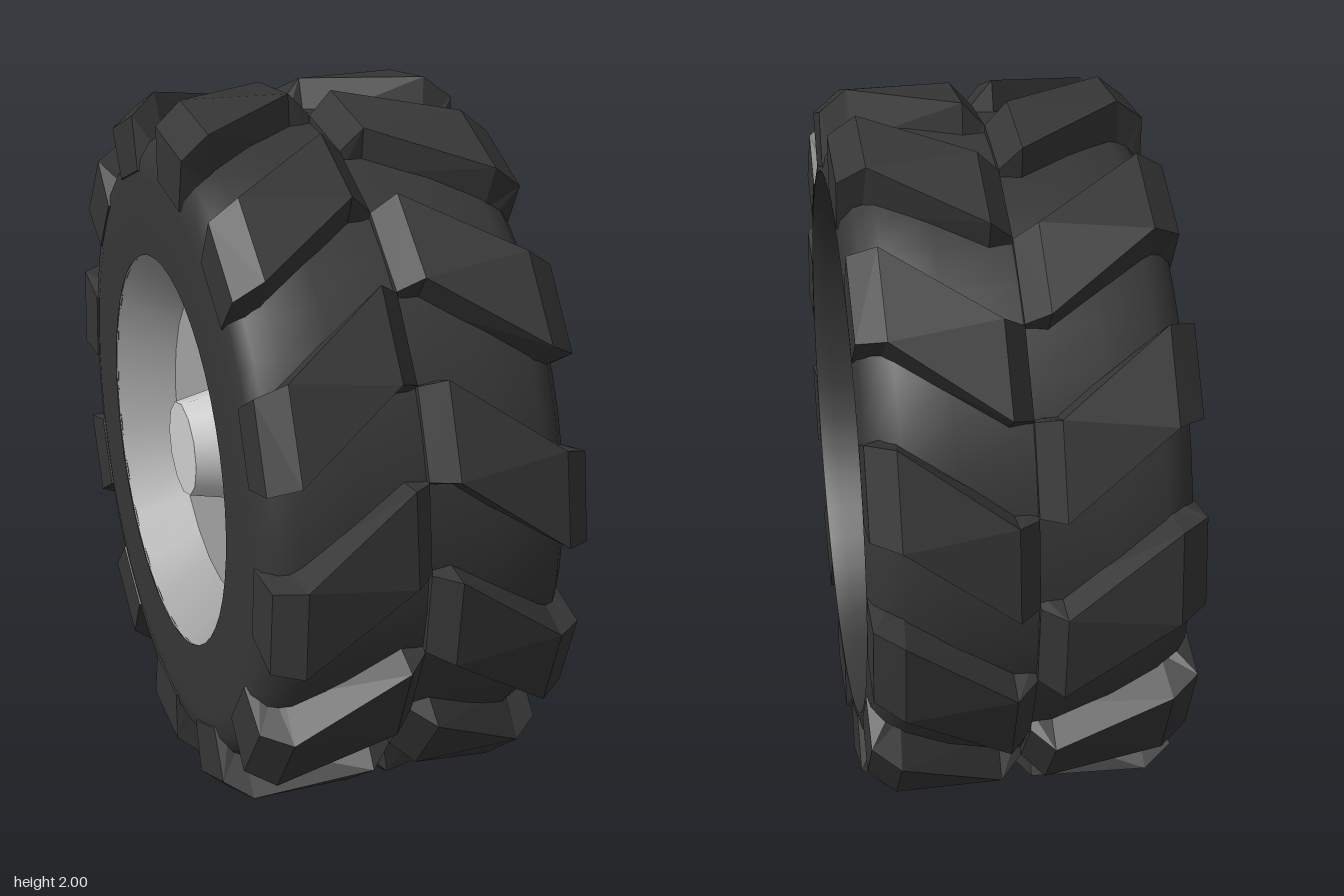
import * as THREE from 'three';

const mat = (name, color, side = THREE.FrontSide) =>
  Object.assign(new THREE.MeshStandardMaterial({ color, side }), { name });

const rad = THREE.MathUtils.degToRad;

// Tread lug: quad cross-sections swept from the centre line over the shoulder.
// Each station: [topX, topRadius, baseX, baseRadius, sweep angle]
const STATIONS = [
  [0.0, 0.935, 0.0, 0.87, 0],
  [0.06, 1.0, 0.06, 0.87, 0],
  [0.35, 1.0, 0.34, 0.86, -12.5],
  [0.425, 0.94, 0.36, 0.83, -13.5],
  [0.425, 0.79, 0.38, 0.77, -13.5],
];

function lugGeometry(side) {
  const pos = [];
  const point = (x, r, deg) => [side * x, r * Math.sin(rad(deg)), r * Math.cos(rad(deg))];
  const loops = STATIONS.map(([tx, tr, bx, br, sweep]) => {
    const c = sweep - side * 7.5;
    return [point(bx, br, c - 8.4), point(tx, tr, c - 7.4), point(tx, tr, c + 7.4), point(bx, br, c + 8.4)];
  });
  const quad = (a, b, c, d) => {
    const order = side > 0 ? [a, b, c, a, c, d] : [a, c, b, a, d, c];
    order.forEach((p) => pos.push(...p));
  };
  for (let i = 0; i < loops.length - 1; i++) {
    for (let j = 0; j < 4; j++) {
      const k = (j + 1) % 4;
      quad(loops[i][j], loops[i + 1][j], loops[i + 1][k], loops[i][k]);
    }
  }
  const end = loops[loops.length - 1];
  quad(...loops[0]);
  quad(end[3], end[2], end[1], end[0]);
  const g = new THREE.BufferGeometry();
  g.setAttribute('position', new THREE.Float32BufferAttribute(pos, 3));
  g.computeVertexNormals();
  return g;
}

export function createModel() {
  const rubber = mat('dark rubber', 0x363636);
  const metal = mat('grey metal', 0xa2a2a2, THREE.DoubleSide);
  const hubMetal = mat('light hub metal', 0xcecece);

  const wheel = new THREE.Group();
  wheel.name = 'wheel';
  wheel.position.y = 1;

  const add = (name, geometry, material, x = 0) => {
    const m = new THREE.Mesh(geometry, material);
    m.name = name;
    m.position.x = x;
    wheel.add(m);
    return m;
  };

  // Tyre body: [x, radius], outer wall first, then the open bowl inside
  const outer = [
    [-0.425, 0.555], [-0.425, 0.57], [-0.425, 0.76], [-0.415, 0.82], [-0.385, 0.865], [-0.33, 0.895],
    [-0.2, 0.91], [0, 0.915], [0.2, 0.91], [0.33, 0.895], [0.385, 0.865], [0.415, 0.82], [0.425, 0.775],
  ];
  const inner = [
    [0.424, 0.77], [0.38, 0.755], [0.25, 0.735], [0.1, 0.71], [-0.1, 0.665], [-0.25, 0.62], [-0.36, 0.58], [-0.42, 0.555],
  ];
  const lathe = (pts) =>
    new THREE.LatheGeometry(pts.map(([x, r]) => new THREE.Vector2(r, x)), 48).rotateZ(-Math.PI / 2);
  add('tyreBody', lathe(outer), rubber);
  add('tyreInside', lathe([outer[outer.length - 1], ...inner]), rubber);

  // Tread lugs, staggered between the two halves
  for (const side of [1, -1]) {
    const geometry = lugGeometry(side);
    for (let i = 0; i < 12; i++) {
      add(side > 0 ? 'leftTreadLug' : 'rightTreadLug', geometry, rubber).rotation.x = rad(30 * i);
    }
  }

  // Dished rim: sloped wall and flat disc
  const cone = new THREE.CylinderGeometry(0.442, 0.56, 0.15, 24, 1, true).rotateZ(-Math.PI / 2);
  add('rimWall', cone, metal, -0.348);
  add('rimDisc', new THREE.CircleGeometry(0.442, 24).rotateY(Math.PI / 2), metal, -0.273);

  // Tapered hub through the disc
  const hub = new THREE.CylinderGeometry(0.16, 0.135, 0.12, 12).rotateZ(-Math.PI / 2);
  add('hub', hub, hubMetal, -0.32);

  const model = new THREE.Group();
  model.name = 'tractorWheel';
  model.add(wheel);
  return model;
}
